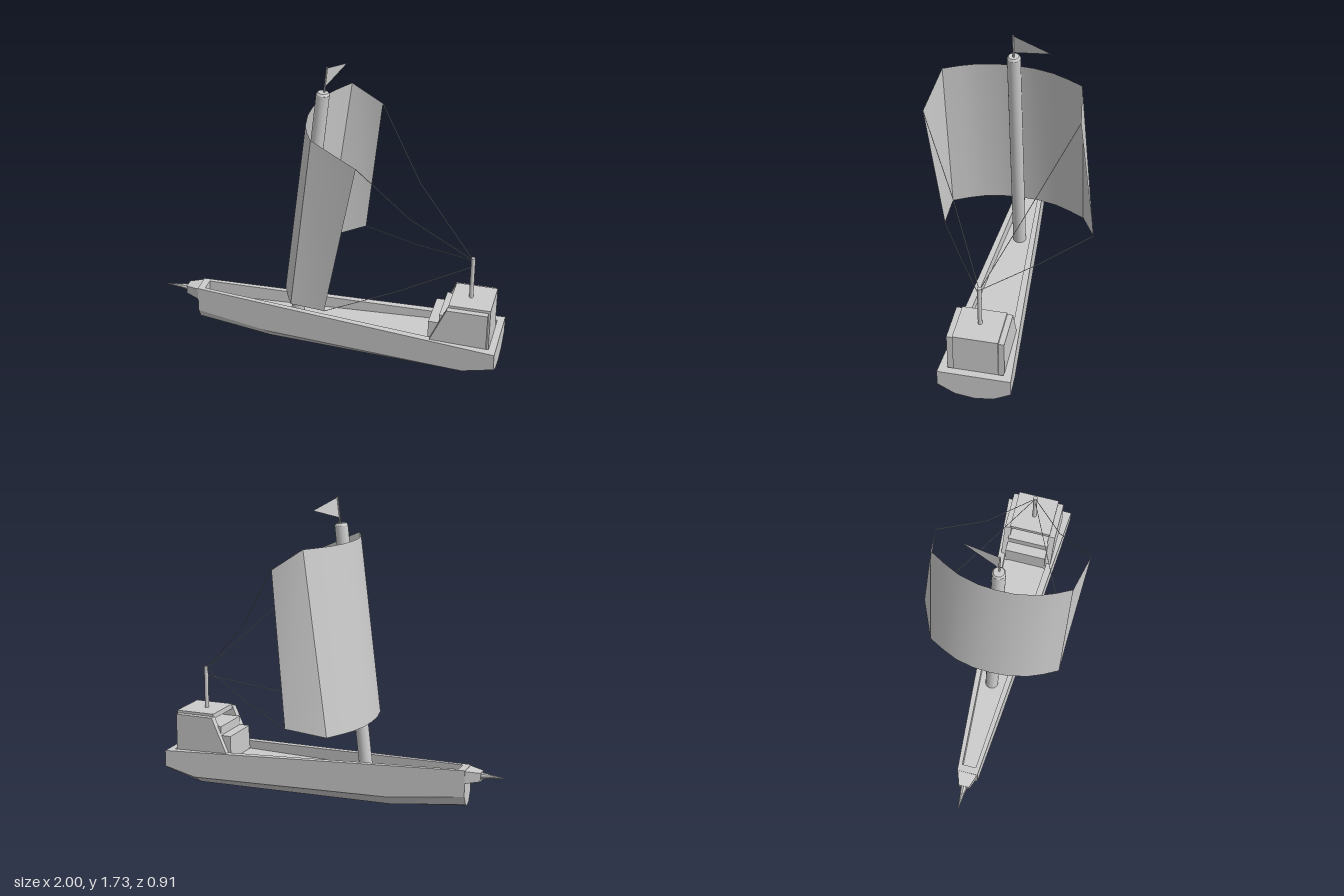
import * as THREE from 'three';

const flat = new THREE.MeshStandardMaterial({ color: 0xcccccc, flatShading: true });
const smooth = new THREE.MeshStandardMaterial({ color: 0xcccccc });
const cloth = new THREE.MeshStandardMaterial({ color: 0xcccccc, side: THREE.DoubleSide });
const MID = 0.033; // z of the boat's centreline

function add(parent, name, geometry, material = flat) {
  const mesh = new THREE.Mesh(geometry, material);
  mesh.name = name;
  parent.add(mesh);
  return mesh;
}

const vec = (p) => new THREE.Vector3(...p);

// Tapered round bar between two points
function bar(parent, name, a, b, ra, rb = ra, sides = 16, material = smooth) {
  const from = vec(a), to = vec(b), dir = to.clone().sub(from);
  const mesh = add(parent, name, new THREE.CylinderGeometry(rb, ra, dir.length(), sides), material);
  mesh.position.copy(from).add(to).multiplyScalar(0.5);
  mesh.quaternion.setFromUnitVectors(new THREE.Vector3(0, 1, 0), dir.normalize());
  return mesh;
}

// Box from its limits on each axis
function box(parent, name, [x0, x1], [y0, y1], [z0, z1]) {
  const mesh = add(parent, name, new THREE.BoxGeometry(x1 - x0, y1 - y0, z1 - z0));
  mesh.position.set((x0 + x1) / 2, (y0 + y1) / 2, (z0 + z1) / 2);
  return mesh;
}

// Closed rings of points, joined along x and capped at both ends
function loft(rings) {
  const n = rings[0].length, index = [];
  for (let i = 0; i < rings.length - 1; i++) {
    for (let j = 0; j < n; j++) {
      const k = (j + 1) % n, a = i * n + j, b = a + n, c = (i + 1) * n + k, d = i * n + k;
      index.push(a, b, c, a, c, d);
    }
  }
  const last = (rings.length - 1) * n;
  for (let j = 1; j < n - 1; j++) {
    index.push(0, j, j + 1, last, last + j + 1, last + j);
  }
  return mesh(rings.flat(), index);
}

function mesh(points, index) {
  const g = new THREE.BufferGeometry();
  g.setAttribute('position', new THREE.Float32BufferAttribute(points.flat(), 3));
  g.setIndex(index);
  g.computeVertexNormals();
  return g;
}

// Thin surface ruled between two edges of equal point count
function sheet(top, bottom) {
  const n = top.length, index = [];
  for (let i = 0; i < n - 1; i++) index.push(i, n + i, n + i + 1, i, n + i + 1, i + 1);
  return mesh([...top, ...bottom], index);
}

// Hull section: keel, bilge, knuckle, gunwale, inner rim, recessed floor
function hullRing([x, keelY, recessed]) {
  const t = (x + 0.78) / 1.78;
  const w = 0.06 + 0.142 * t;
  const inner = 0.04 + 0.09 * (x + 0.74) / 1.34;
  const top = 0.27 - 0.055 * t;
  const floor = recessed ? 0.18 : top;
  const half = [[keelY + 0.015, w * 0.52], [keelY + 0.07, w], [top, w], [top, inner], [floor, inner]];
  return [
    [x, keelY, MID],
    ...half.map(([y, z]) => [x, y, MID + z]),
    ...half.reverse().map(([y, z]) => [x, y, MID - z]),
  ];
}

function buildHull(group) {
  add(group, 'hull', loft([
    [-0.78, 0.05, false], [-0.74, 0.046, false], [-0.74, 0.046, true], [-0.34, 0.002, true],
    [0.82, 0, true], [0.96, 0.039, true], [0.96, 0.039, false], [1, 0.05, false],
  ].map(hullRing)));

  // Bow block and stepped spike
  const blockRing = (x, y0, y1, w) => [
    [x, y0, MID - w], [x, y0, MID + w], [x, y1, MID + w], [x, y1, MID - w],
  ];
  add(group, 'bowBlock', loft([blockRing(-0.86, 0.207, 0.256, 0.03), blockRing(-0.78, 0.195, 0.265, 0.058)]));
  [[-0.86, -0.9, 0.019, 0.014], [-0.9, -0.945, 0.012, 0.008], [-0.945, -1, 0.007, 0.001]].forEach(
    ([x0, x1, r0, r1]) => bar(group, 'bowSpike', [x0, 0.233, MID], [x1, 0.235, MID], r0, r1, 8, flat));
}

function buildCabin(group) {
  const cabin = new THREE.Group();
  cabin.name = 'cabin';
  group.add(cabin);
  const z = [MID - 0.125, MID + 0.122];
  box(cabin, 'cabinRoof', [0.72, 0.955], [0.415, 0.445], z);
  box(cabin, 'cabinBack', [0.79, 0.955], [0.18, 0.416], z);
  box(cabin, 'upperStep', [0.67, 0.795], [0.18, 0.375], z);
  box(cabin, 'lowerStep', [0.61, 0.675], [0.18, 0.323], z);
  // Sloping side walls
  const wall = new THREE.Shape([[0.605, 0.18], [0.945, 0.18], [0.945, 0.43], [0.715, 0.43]]
    .map((p) => new THREE.Vector2(...p)));
  for (const side of [1, -1]) {
    const plate = add(cabin, 'cabinWall',
      new THREE.ExtrudeGeometry(wall, { depth: 0.04, bevelEnabled: false }));
    plate.position.z = MID - 0.02 + side * 0.136;
  }
  bar(cabin, 'sternPole', [0.825, 0.43, MID], [0.825, 0.695, MID], 0.012);
}

function buildMast(group) {
  const z = 0.027;
  bar(group, 'mast', [-0.188, 0.17, z], [-0.031, 1.57, z], 0.038, 0.037, 20);
  bar(group, 'mastCap', [-0.031, 1.57, z], [-0.03, 1.582, z], 0.037, 0.029, 20, flat);
  bar(group, 'flagPole', [-0.026, 1.56, z], [-0.008, 1.725, z], 0.005, 0.005, 8);
  add(group, 'flag', mesh([[-0.008, 1.722, z], [-0.021, 1.61, z], [0.045, 1.67, -0.19]], [0, 1, 2]), cloth);
}

function buildSailAndRigging(group) {
  const sail = new THREE.Group();
  sail.name = 'sail';
  group.add(sail);
  // Bellied main panel, leaning with the mast
  const curve = [[-0.11, 0.41], [-0.155, 0.325], [-0.19, 0.24], [-0.215, 0.12], [-0.22, 0.02],
    [-0.215, -0.08], [-0.19, -0.19], [-0.15, -0.28], [-0.105, -0.365]];
  const bottom = curve.map(([x, z]) => [x, 0.473, z]);
  const top = curve.map(([x, z], i) => [x + 0.12 + 0.018 * i / 8, 1.48 + 0.006 * i / 8, z + 0.012 * i / 8]);
  add(sail, 'mainPanel', sheet(top, bottom), cloth);

  // Side flaps, each held by two sagging ropes
  const flaps = [
    { end: 0, top: [0.26, 1.37, 0.455], low: [0.08, 0.46, 0.412], tie: 0.64 },
    { end: 8, top: [0.205, 1.37, -0.378], low: [0.1, 0.525, -0.455], tie: 0.68 },
  ];
  for (const f of flaps) {
    add(sail, 'sideFlap', sheet([top[f.end], f.top], [bottom[f.end], f.low]), cloth);
    const ropes = [[f.top, 0.68, [-0.04, -0.02]], [f.low, f.tie, [0, -0.015]]];
    for (const [start, y, [sx, sy]] of ropes) {
      const stop = [0.825, y, MID];
      const middle = [(start[0] + stop[0]) / 2 + sx, (start[1] + y) / 2 + sy, (start[2] + MID) / 2];
      bar(group, 'rope', start, middle, 0.002, 0.002, 6);
      bar(group, 'rope', middle, stop, 0.002, 0.002, 6);
    }
  }
}

export function createModel() {
  const group = new THREE.Group();
  group.name = 'sailingBoat';
  buildHull(group);
  buildCabin(group);
  buildMast(group);
  buildSailAndRigging(group);
  return group;
}
